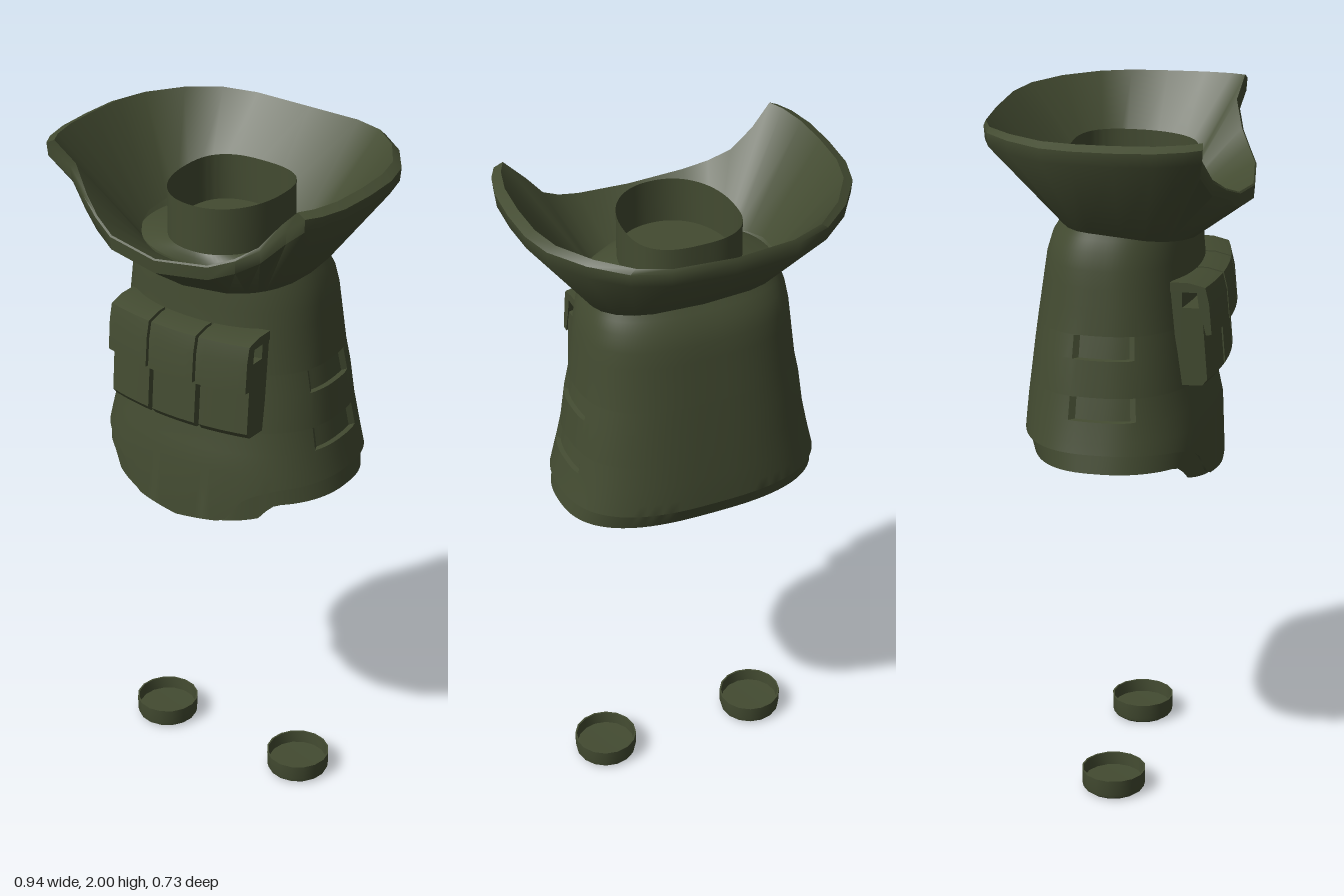
import * as THREE from 'three';
import { toCreasedNormals } from 'three/addons/utils/BufferGeometryUtils.js';

const material = new THREE.MeshStandardMaterial({ color: 0x434b31, side: THREE.DoubleSide });
const N = 96;
const lerp = THREE.MathUtils.lerp;

function part(name, geometry, parent, crease = 0.6) {
  const mesh = new THREE.Mesh(toCreasedNormals(geometry, crease), material);
  mesh.name = name;
  parent.add(mesh);
  return mesh;
}

// Skin over closed rings of equal point count
function loft(rings) {
  const n = rings[0].length, index = [];
  for (let r = 0; r < rings.length - 1; r++) {
    for (let i = 0; i < n; i++) {
      const a = r * n + i, b = r * n + (i + 1) % n;
      index.push(a, a + n, b, b, a + n, b + n);
    }
  }
  const g = new THREE.BufferGeometry();
  g.setAttribute('position', new THREE.Float32BufferAttribute(rings.flat(2), 3));
  g.setIndex(index);
  return g;
}

// Body outline: rounder front, squarer back. Angle 0 is the back, then +x, then the front.
function outline(a, w, front, back, y) {
  const s = Math.sin(a), c = -Math.cos(a), p = c > 0 ? 0.92 : 0.74;
  return [
    w * Math.sign(s) * Math.abs(s) ** p, y,
    (c > 0 ? front : back) * Math.sign(c) * Math.abs(c) ** p,
  ];
}

const section = (w, front, back, y) =>
  Array.from({ length: N }, (_, i) => outline((i / N) * Math.PI * 2, w, front, back, y));

// Interpolate rows of [key, values...]
function sample(table, key) {
  let k = 0;
  while (k < table.length - 2 && key > table[k + 1][0]) k++;
  const [a, b] = [table[k], table[k + 1]];
  const t = THREE.MathUtils.clamp((key - a[0]) / (b[0] - a[0]), 0, 1);
  return a.slice(1).map((v, j) => lerp(v, b[j + 1], t));
}

// y, half width, front depth, back depth
const BODY = [
  [1.1, 0.378, 0.285, 0.265], [1.18, 0.36, 0.268, 0.258], [1.25, 0.346, 0.255, 0.25],
  [1.35, 0.334, 0.243, 0.238], [1.42, 0.32, 0.235, 0.229], [1.6, 0.301, 0.22, 0.203],
  [1.65, 0.292, 0.218, 0.188], [1.71, 0.272, 0.213, 0.15],
];
// |x|, shell hem height, lining height on the front half
const HEM = [
  [0, 0.953, 0.953], [0.15, 0.972, 0.97], [0.205, 1.05, 0.982],
  [0.24, 1.068, 0.992], [0.27, 1.08, 1.03], [0.29, 1.085, 1.036], [0.38, 1.095, 1.04],
];
const SLOTS = [[1.185, 1.25], [1.355, 1.42]];

function torso(parent) {
  const hem = (scale, lining) => section(0.38, 0.285, 0.265, 0).map(([x, , z]) => {
    const h = z > 0 ? sample(HEM, Math.abs(x)) : [1.095, 1.04];
    return [x * scale, h[lining], z * scale];
  });
  // The lining tucks in at the back and keeps its width at the sides
  const lining = hem(1, 1).map(([x, y, z]) => [x, y, z * (z < 0 ? 0.9 : 0.97)]);
  const rings = [lining, hem(0.97, 0), hem(1, 0)];

  // Rows double up at the slot edges so the recesses stay crisp
  const rows = [1.13, 1.5, 1.55, 1.6, 1.65, 1.68, 1.71];
  for (const [lo, hi] of SLOTS) rows.push(lo - 0.001, lo + 0.001, hi - 0.001, hi + 0.001);
  rows.sort((a, b) => a - b);
  for (const y of rows) {
    const inSlot = SLOTS.some(([lo, hi]) => y > lo && y < hi);
    rings.push(section(...sample(BODY, y), y).map(([x, yy, z]) =>
      [inSlot && z > -0.078 && z < 0.08 ? x - Math.sign(x) * 0.013 : x, yy, z]));
  }
  part('torsoShell', loft(rings), parent);

  // Shoulders and upright neck ring with a closed floor
  const neck = y => section(0.162, 0.203, 0.148, y);
  part('shoulders', loft([section(0.272, 0.213, 0.15, 1.71), section(0.22, 0.21, 0.15, 1.73), neck(1.745)]), parent, 1);
  part('neckRing', loft([neck(1.73), neck(1.88)]), parent);
  part('neckFloor', loft([neck(1.745), section(0.001, 0.001, 0.001, 1.745)]), parent);
}

// Flared collar: high at the back and corners, dipping at the front
function collar(parent) {
  // Half of the rim from back to front: x, y, z, and the angle where it springs from the neckline
  const half = [
    [0, 1.955, -0.368, 0], [0.18, 1.96, -0.358, 23], [0.28, 1.965, -0.325, 36], [0.37, 1.97, -0.25, 51],
    [0.44, 1.972, -0.15, 66], [0.465, 1.974, -0.06, 78], [0.47, 1.975, 0.05, 98], [0.465, 1.977, 0.16, 113],
    [0.445, 1.98, 0.24, 123], [0.422, 1.982, 0.283, 128], [0.355, 1.925, 0.268, 131],
    [0.29, 1.86, 0.292, 136], [0.23, 1.825, 0.32, 143], [0.16, 1.798, 0.348, 154], [0, 1.78, 0.366, 180],
  ];
  const rim = [...half, ...half.slice(1, -1).reverse().map(([x, y, z, a]) => [-x, y, z, 360 - a])];
  const outer = rim.map(([x, y, z]) => [x, y, z]);
  const lower = rim.map(([x, y, z]) => [x * 0.992, y - 0.038, z * 0.992]);
  const inner = rim.map(([x, y, z]) => {
    const lip = 1 - THREE.MathUtils.smoothstep(y, 1.8, 1.97);
    return [x * lerp(0.94, 0.985, lip), y + lerp(0.013, 0.004, lip), z * 0.988];
  });
  const base = (grow, lift) => rim.map(([, , , deg]) => {
    const [x, , z] = outline(THREE.MathUtils.degToRad(deg), 0.272 + grow, 0.215 + grow * 2, 0.15 + grow, 0);
    return [x, lerp(1.7, 1.655, Math.max(0, z / 0.24)) + lift, z];
  });
  part('collar', loft([base(0.012, 0), lower, outer, inner, base(-0.003, 0.035)]), parent, 0.8);
}

// Side profile (z, y) given a span along x, wrapped back around the chest
function wrapExtrude(points, x, width) {
  const g = new THREE.ExtrudeGeometry(new THREE.Shape(points.map(p => new THREE.Vector2(...p))),
    { depth: width, steps: 6, bevelEnabled: false });
  g.translate(0, 0, -width / 2).rotateY(-Math.PI / 2).translate(x, 0, 0);
  const pos = g.attributes.position;
  for (let i = 0; i < pos.count; i++) pos.setZ(i, pos.getZ(i) - 0.6 * pos.getX(i) ** 2);
  g.computeVertexNormals();
  return g;
}

function pouches(parent) {
  const body = [[0.225, 1.26], [0.288, 1.262], [0.302, 1.28], [0.285, 1.485], [0.23, 1.485], [0.23, 1.53], [0.198, 1.53]];
  const flap = [[0.198, 1.53], [0.272, 1.53], [0.279, 1.48], [0.288, 1.45], [0.298, 1.41], [0.314, 1.412],
    [0.306, 1.5], [0.295, 1.546], [0.25, 1.557], [0.198, 1.557]];
  ['rightPouch', 'middlePouch', 'leftPouch'].forEach((name, i) => {
    const pouch = new THREE.Group(), x = 0.005 + (i - 1) * 0.157;
    pouch.name = name;
    part('pouchBody', wrapExtrude(body, x, 0.142), pouch, 0.4);
    part('pouchFlap', wrapExtrude(flap, x, 0.148), pouch, 0.4);
    parent.add(pouch);
  });
}

// Shallow open cups on the ground
function footCups(parent) {
  const profile = [[0, 0.003], [0.08, 0], [0.09, 0.008], [0.093, 0.02], [0.094, 0.063], [0.089, 0.063], [0.087, 0.025], [0, 0.022]];
  for (const side of [-1, 1]) {
    const cup = part(side > 0 ? 'leftFootCup' : 'rightFootCup',
      new THREE.LatheGeometry(profile.map(p => new THREE.Vector2(...p)), 16), parent);
    cup.position.set(side * 0.245, 0, 0.012);
  }
}

export function createModel() {
  const group = new THREE.Group();
  group.name = 'armouredVest';
  torso(group);
  collar(group);
  pouches(group);
  footCups(group);
  return group;
}
